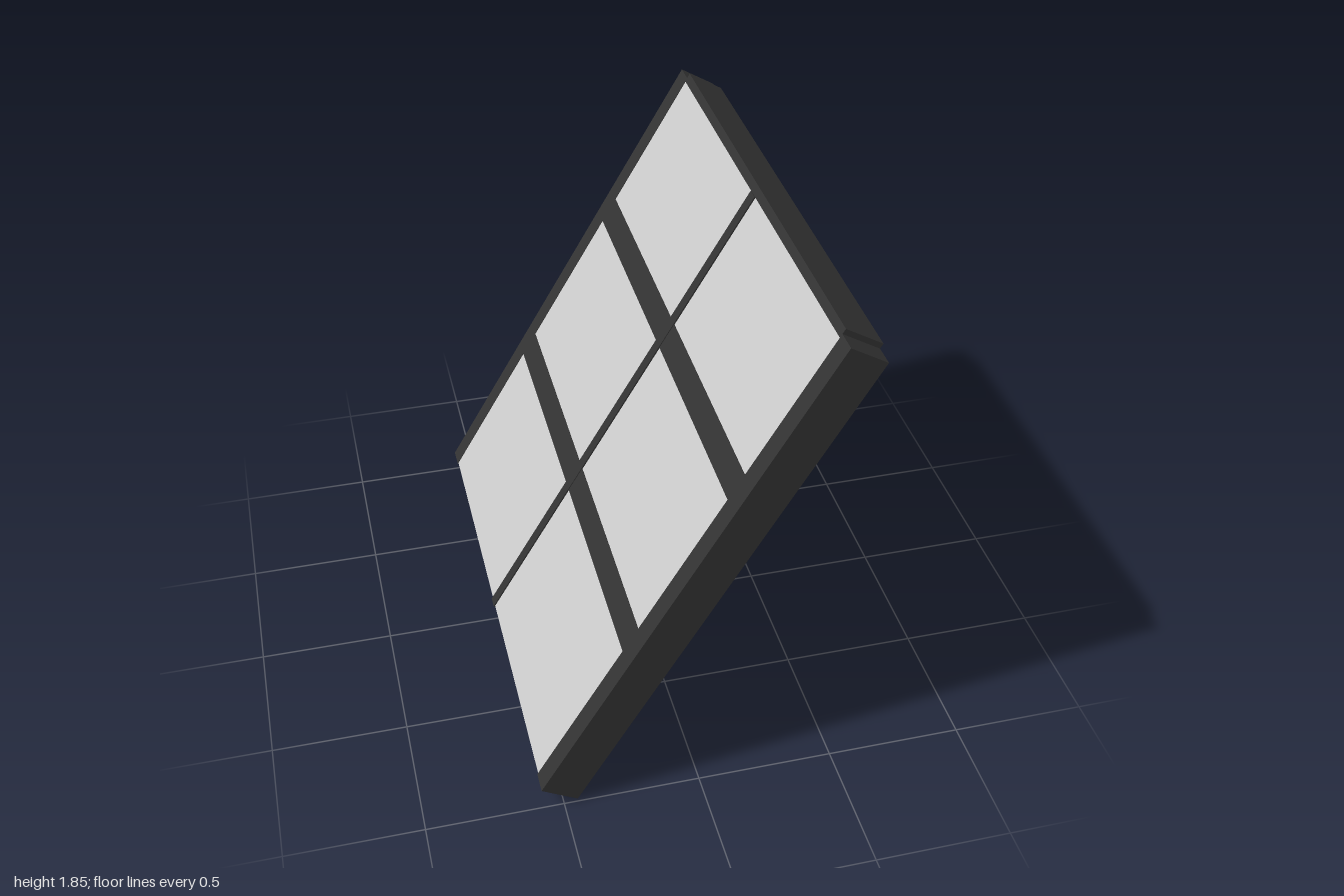
import * as THREE from 'three';

export function createModel() {
  const model = new THREE.Group();
  model.name = 'slopedRoofWindow';

  const frameMat = new THREE.MeshStandardMaterial({ color: 0x333333 });
  const glassMat = new THREE.MeshStandardMaterial({ color: 0xcccccc });

  // Panel space: x = depth from the outer face inwards, y = distance up the slope
  const panel = new THREE.Group();
  panel.name = 'panel';
  panel.rotation.z = THREE.MathUtils.degToRad(-30.3);
  panel.position.set(-0.58, 0.09, 0);
  model.add(panel);

  function bar(name, [d0, d1], [s0, s1], [z0, z1], mat = frameMat) {
    const mesh = new THREE.Mesh(new THREE.BoxGeometry(d1 - d0, s1 - s0, z1 - z0), mat);
    mesh.position.set((d0 + d1) / 2, (s0 + s1) / 2, (z0 + z1) / 2);
    mesh.name = name;
    panel.add(mesh);
    return mesh;
  }

  const inner = 0.92; // inside edge of the side stiles
  const across = [-inner, inner];
  const crossBars = [0.68, 1.38];
  const flangeHalf = 0.054;

  // Side stiles
  bar('leftStile', [0, 0.15], [0, 2.015], [inner, 1]);
  bar('rightStile', [0, 0.15], [0, 2.015], [-1, -inner]);

  // Top rail, and bottom rail with a glazing lip
  bar('topRail', [0, 0.15], [2.0, 2.035], across);
  bar('bottomRail', [0.024, 0.15], [-0.015, 0.1], across);
  bar('bottomLip', [0.012, 0.026], [0.05, 0.13], across);

  // T-shaped cross bars: flange level with the glass, web projecting inwards
  for (const s of crossBars) {
    bar('crossBarFlange', [0, 0.022], [s - flangeHalf, s + flangeHalf], across);
    bar('crossBarWeb', [0.02, 0.122], [s - 0.02, s + 0.01], across);
    // Small fixings at the ends of each web
    for (const z of [-0.91, -0.032, 0.032, 0.91]) {
      const pin = new THREE.Mesh(new THREE.CylinderGeometry(0.016, 0.016, 0.02, 10), frameMat);
      pin.name = 'fixing';
      pin.rotation.x = Math.PI / 2;
      pin.position.set(0.115, s - 0.005, z);
      panel.add(pin);
    }
  }

  // Central glazing bar outside and slim support rod inside
  bar('centreGlazingBar', [-0.003, 0.022], [0, 2.0], [-0.023, 0.023]);
  bar('centreRod', [0.12, 0.15], [0.1, 2.0], [-0.023, 0.023]);

  // Six panes, the lowest pair running over the bottom rail
  const starts = [0.004, ...crossBars.map((s) => s + flangeHalf)];
  const ends = [...crossBars.map((s) => s - flangeHalf), 2.0];
  starts.forEach((s0, i) => {
    for (const z of [[-inner, -0.023], [0.023, inner]]) {
      bar('glassPane', [0.002, 0.012], [s0, ends[i]], z, glassMat);
    }
  });

  return model;
}
